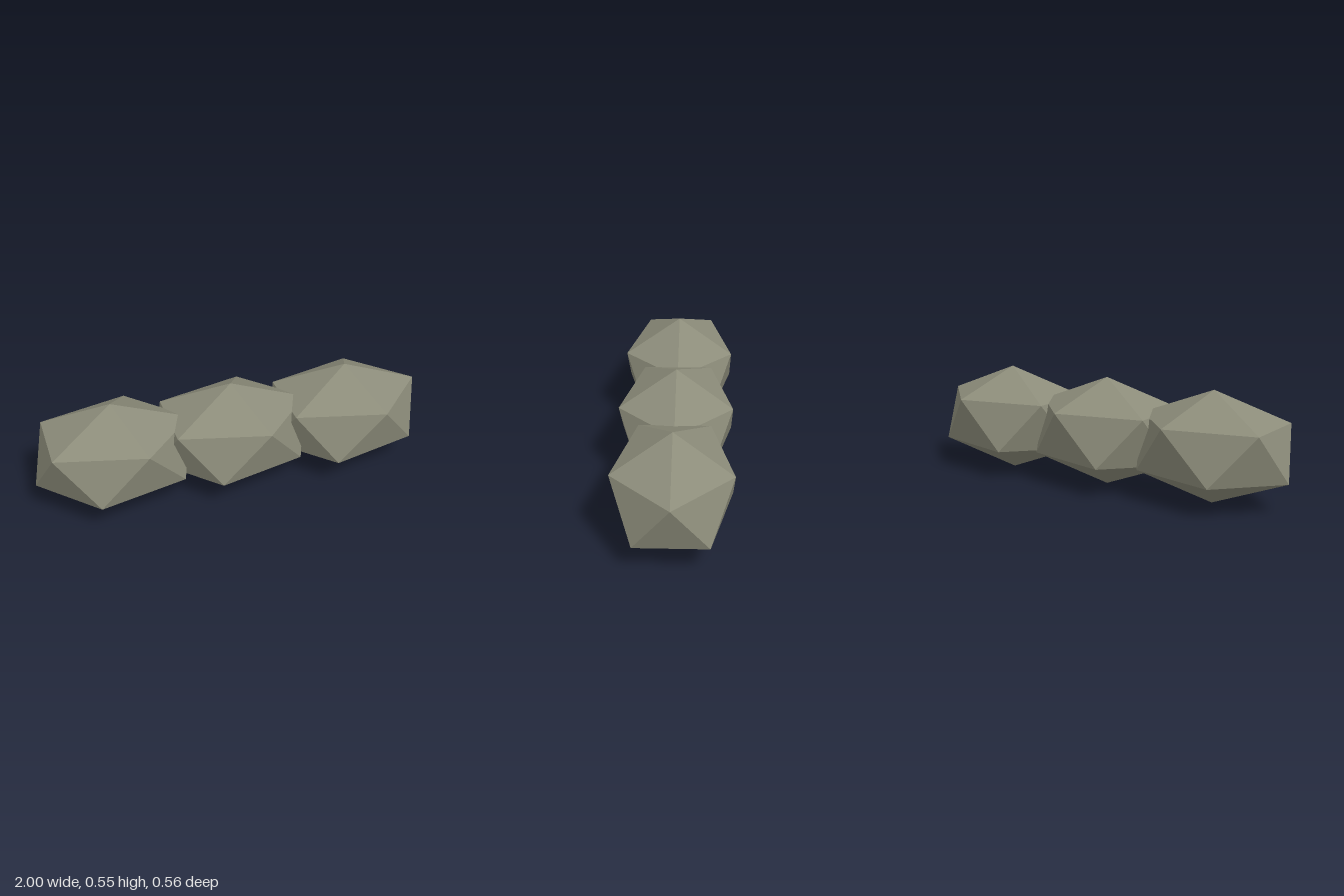
import * as THREE from 'three';

export function createModel() {
  const group = new THREE.Group();
  const stone = new THREE.MeshStandardMaterial({ color: 0x8c8c7a, flatShading: true });
  stone.name = 'grey olive stone';

  // Icosahedron turned to stand on a vertex, with an upper ring corner at +x
  const golden = (1 + Math.sqrt(5)) / 2;
  const rock = new THREE.IcosahedronGeometry(1, 0);
  rock.rotateZ(-Math.atan(1 / golden));
  rock.scale(0.4415, 0.276, 0.3305);
  rock.computeVertexNormals();

  // Three equal overlapping stones in a row
  ['rightStone', 'middleStone', 'leftStone'].forEach((name, i) => {
    const mesh = new THREE.Mesh(rock, stone);
    mesh.name = name;
    mesh.position.set((i - 1) * 0.605, 0.276, 0);
    group.add(mesh);
  });
  return group;
}
